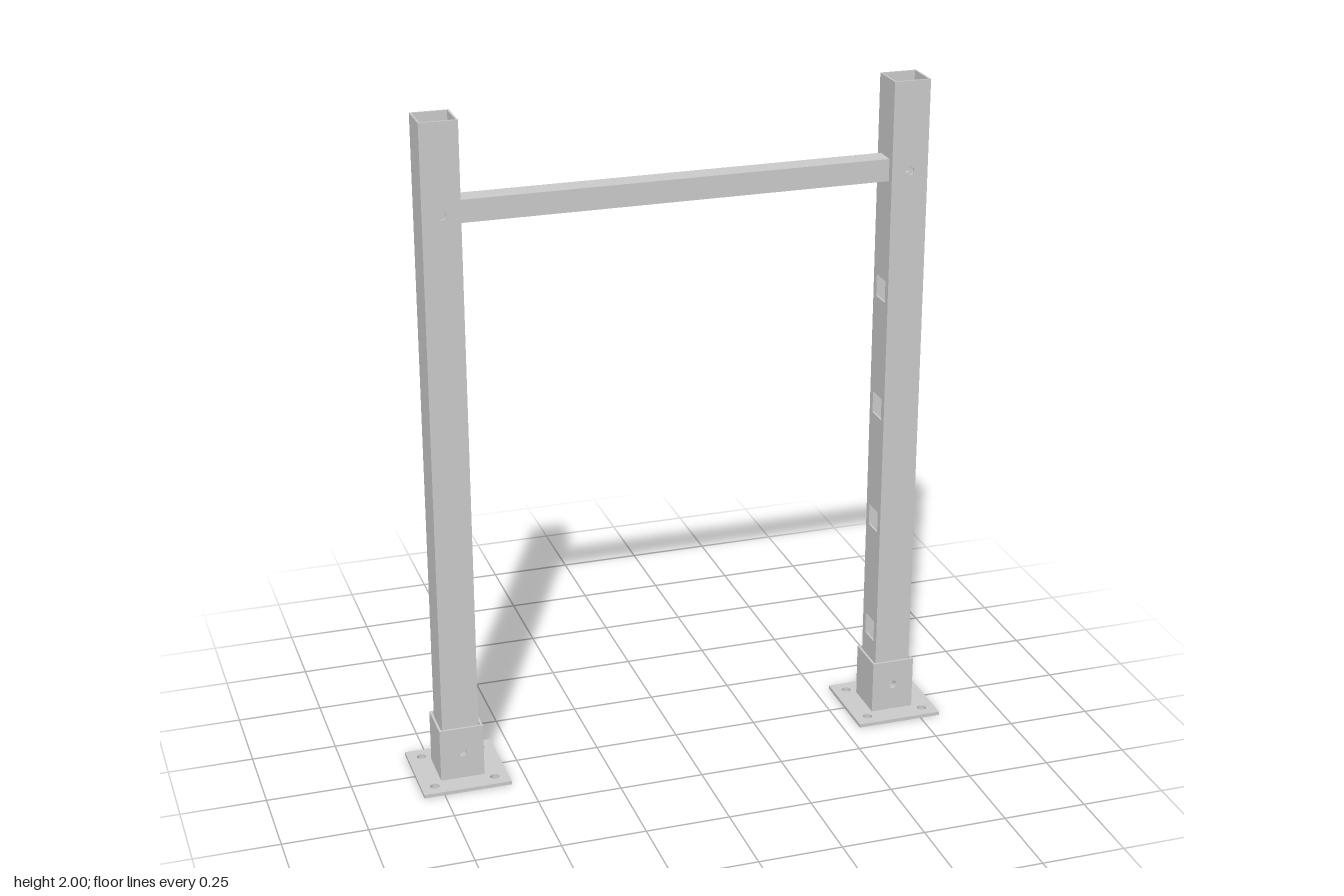
import * as THREE from 'three';

const material = new THREE.MeshStandardMaterial({ color: 0xcccccc, flatShading: true });

// Hole outlines
function roundHole(x, y, r) {
  return new THREE.Path().absarc(x, y, r, 0, Math.PI * 2, true);
}
function squareHole(x, y, s) {
  const h = s / 2;
  return new THREE.Path([[-h, -h], [-h, h], [h, h], [h, -h]].map(([a, b]) => new THREE.Vector2(x + a, y + b)));
}

// Flat sheet: centred on x, rising from y = 0, thickness centred on z
function sheet(name, width, height, thickness, holes = []) {
  const w = width / 2;
  const shape = new THREE.Shape([[-w, 0], [w, 0], [w, height], [-w, height]].map(([x, y]) => new THREE.Vector2(x, y)));
  shape.holes = holes;
  const geometry = new THREE.ExtrudeGeometry(shape, { depth: thickness, bevelEnabled: false, curveSegments: 16 });
  geometry.translate(0, 0, -thickness / 2);
  const mesh = new THREE.Mesh(geometry, material);
  mesh.name = name;
  return mesh;
}

// Open square tube along y; round holes go through front and back, square slots through the -x wall
function squareTube(name, size, wall, height, { bolts = [], slots = [], boltRadius = 0.013, slotSize = 0.066 } = {}) {
  const tube = new THREE.Group();
  tube.name = name;
  const offset = (size - wall) / 2;
  for (const s of [1, -1]) {
    const face = sheet(s > 0 ? 'frontWall' : 'backWall', size, height, wall, bolts.map((y) => roundHole(0, y, boltRadius)));
    face.position.z = s * offset;
    const side = sheet(s > 0 ? 'outerWall' : 'innerWall', size - 2 * wall, height, wall,
      s < 0 ? slots.map((y) => squareHole(0, y, slotSize)) : []);
    side.rotation.y = Math.PI / 2;
    side.position.x = s * offset;
    tube.add(face, side);
  }
  return tube;
}

const PLATE = 0.262, PLATE_T = 0.011, POST_X = 0.68;
const BEAM_Y = 1.738, SLEEVE_BOLT_Y = 0.095;

// Upright with base plate, socket sleeve and slotted post; the slots face -x
function createUpright(name) {
  const upright = new THREE.Group();
  upright.name = name;

  // Base plate with four anchor holes
  const anchors = [];
  for (const x of [-0.09, 0.09]) for (const y of [-0.09, 0.09]) anchors.push(roundHole(x, PLATE / 2 + y, 0.014));
  const plate = sheet('basePlate', PLATE, PLATE, PLATE_T, anchors);
  plate.rotation.x = -Math.PI / 2;
  plate.position.set(0, PLATE_T / 2, PLATE / 2);

  // Sleeve welded to the plate
  const sleeve = squareTube('sleeve', 0.131, 0.0066, 0.163, { bolts: [SLEEVE_BOLT_Y - PLATE_T] });
  sleeve.position.y = PLATE_T;

  // Post with evenly spaced slots for the crossbar
  const slots = [0, 1, 2, 3, 4].map((i) => BEAM_Y - i * 0.367 - PLATE_T);
  const post = squareTube('post', 0.109, 0.0055, 2 - PLATE_T, {
    bolts: [SLEEVE_BOLT_Y - PLATE_T, BEAM_Y - PLATE_T], slots,
  });
  post.position.y = PLATE_T;

  upright.add(plate, sleeve, post);
  return upright;
}

export function createModel() {
  const model = new THREE.Group();
  model.name = 'uprightFrame';

  const left = createUpright('leftUpright');
  left.position.x = POST_X;
  const right = createUpright('rightUpright');
  right.position.x = -POST_X;
  right.rotation.y = Math.PI;

  // Crossbar reaching into both posts, bolted at the left one
  const bar = squareTube('crossbar', 0.0655, 0.0044, 1.42, { bolts: [POST_X + 0.70] });
  bar.rotation.z = -Math.PI / 2;
  bar.position.set(-0.70, BEAM_Y, 0);

  model.add(left, right, bar);
  return model;
}
